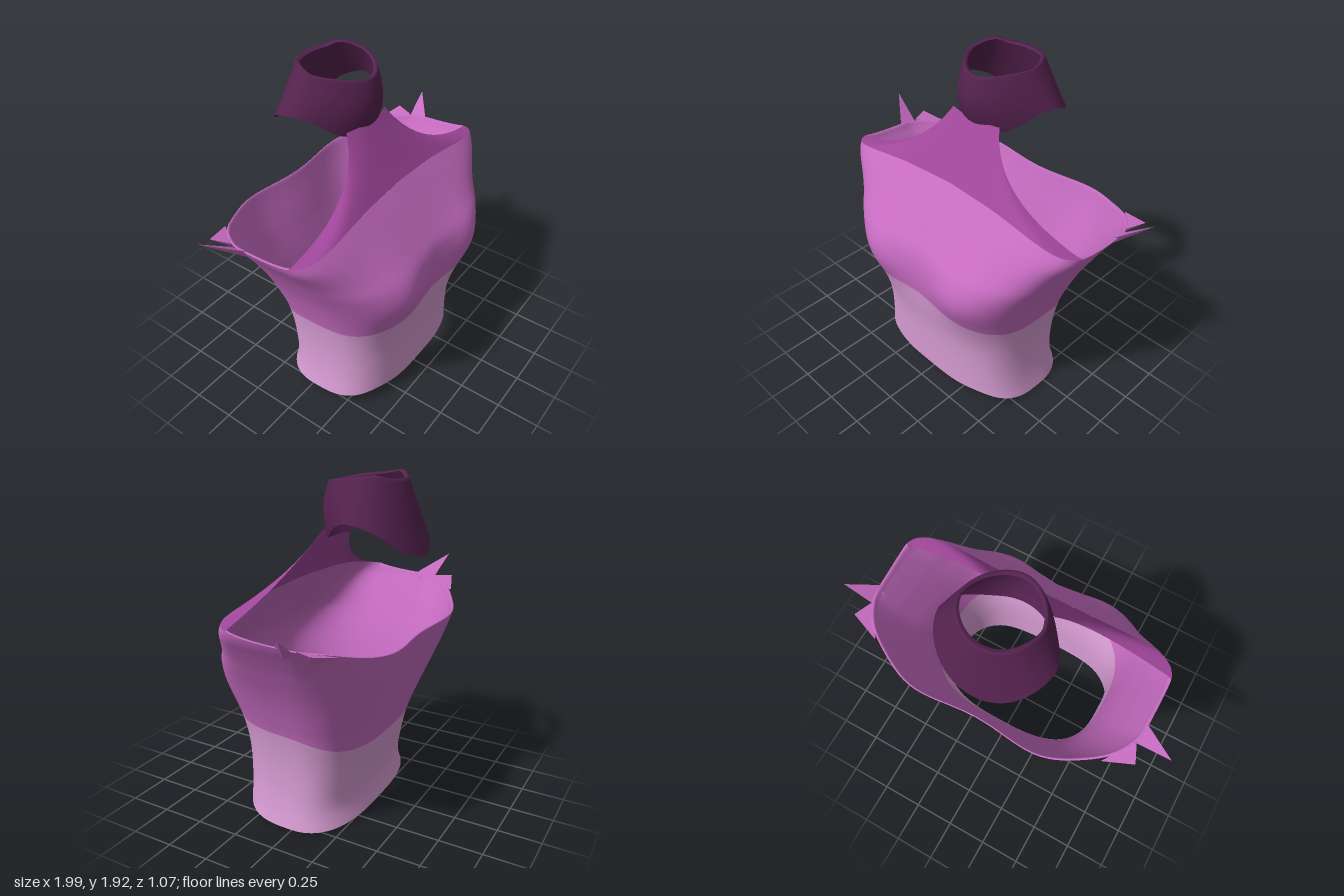
import * as THREE from 'three';

const mat = (name, color) => {
  const m = new THREE.MeshStandardMaterial({ color, side: THREE.DoubleSide });
  m.name = name;
  return m;
};
const { lerp, smoothstep, clamp } = THREE.MathUtils;

// Smooth curve through [position, value] pairs
function curve(pts) {
  const slope = i => {
    const a = pts[Math.max(i - 1, 0)], b = pts[Math.min(i + 1, pts.length - 1)];
    return (b[1] - a[1]) / (b[0] - a[0]);
  };
  return x => {
    x = clamp(x, pts[0][0], pts[pts.length - 1][0]);
    let i = 0;
    while (i < pts.length - 2 && x > pts[i + 1][0]) i++;
    const [x0, y0] = pts[i], [x1, y1] = pts[i + 1], h = x1 - x0, t = (x - x0) / h;
    const t2 = t * t, t3 = t2 * t;
    return (2 * t3 - 3 * t2 + 1) * y0 + (t3 - 2 * t2 + t) * h * slope(i)
      + (3 * t2 - 2 * t3) * y1 + (t3 - t2) * h * slope(i + 1);
  };
}

// Surface from a rule f(u, v) -> [x, y, z]; u goes round, v goes up
function sheet(name, material, f, nu, nv, closed) {
  const pos = [], idx = [], cols = closed ? nu : nu + 1;
  for (let j = 0; j <= nv; j++)
    for (let i = 0; i < cols; i++) pos.push(...f(i / nu, j / nv));
  for (let j = 0; j < nv; j++)
    for (let i = 0; i < nu; i++) {
      const a = j * cols + i, b = j * cols + (i + 1) % cols;
      idx.push(a, a + cols, b, b, a + cols, b + cols);
    }
  const g = new THREE.BufferGeometry();
  g.setAttribute('position', new THREE.Float32BufferAttribute(pos, 3));
  g.setIndex(idx);
  g.computeVertexNormals();
  const mesh = new THREE.Mesh(g, material);
  mesh.name = name;
  return mesh;
}

// Body outline by height
const halfWidth = curve([[0, .56], [.08, .54], [.2, .523], [.35, .518], [.5, .53], [.6, .55], [.8, .62], [1, .72], [1.1, .78], [1.2, .84], [1.31, .85]]);
const frontZ = curve([[0, .43], [.1, .43], [.4, .445], [.6, .48], [.8, .51], [.95, .485], [1.05, .42], [1.2, .315], [1.31, .235]]);
const backZ = curve([[0, -.29], [.13, -.26], [.3, -.285], [.47, -.325], [.6, -.37], [.8, -.445], [1.08, -.535], [1.31, -.56]]);
const middleZ = curve([[0, .06], [.5, .05], [.9, -.04], [1.2, -.1], [1.31, -.1]]);
const frontBend = curve([[0, .66], [.5, .66], [.8, .6], [1, .52], [1.2, .36], [1.31, .33]]);
const backBend = curve([[0, .7], [.6, .7], [1.1, .8], [1.31, .8]]);
const bump = (x, c, w) => Math.exp(-(((x - c) / w) ** 2));
const power = (v, e) => Math.sign(v) * Math.abs(v) ** e;

function bodyPoint(a, y) {
  const c = Math.cos(a), s = Math.sin(a), zc = middleZ(y);
  const e = lerp(backBend(y), frontBend(y), smoothstep(s, -.3, .3));
  const x = halfWidth(y) * power(c, e), ax = Math.abs(x);
  let z = zc + (s > 0 ? frontZ(y) - zc : zc - backZ(y)) * power(s, e);
  // Chest fullness, shoulder blades and the hollow down the spine
  if (s > 0) z += s * (.05 * bump(ax, .36, ax > .36 ? .26 : .2) - .02 * bump(x, 0, .16)) * bump(y, .83, .2);
  else z += s * (.03 * bump(ax, .45, .2) - .035 * bump(x, 0, .25)) * smoothstep(y, .4, 1);
  return [x + .005 + .012 * smoothstep(y, .2, 1.1), y, z];
}

// Edge heights, by angle round the body
const hemCurve = curve([[-1, .025], [-.5, .02], [0, .02], [.5, .045], [.85, .075], [1, .065]]);
const bandCurve = curve([[-1, .475], [-.6, .5], [0, .56], [.5, .585], [.85, .63], [1, .68]]);
const backRim = curve([[-1, 1.085], [-.8, 1.11], [-.5, 1.165], [0, 1.195], [.3, 1.227]]);
const hem = a => hemCurve(Math.sin(a)) - .02 * Math.cos(a);
const band = a => bandCurve(Math.sin(a));
const rim = a => Math.sin(a) > .3 ? 1.31 - .085 * Math.abs(Math.cos(a)) ** .66 : backRim(Math.sin(a));
const ring = (low, high) => (u, v) => {
  const a = u * Math.PI * 2;
  return bodyPoint(a, lerp(low(a), high(a), v));
};

// Collar edges, by sine of the angle
const collarTop = curve([[-1, 1.895], [-.85, 1.9], [-.6, 1.92], [0, 1.9], [.6, 1.885], [1, 1.865]]);
const collarBase = curve([[-1, 1.51], [-.8, 1.56], [-.5, 1.64], [0, 1.69], [.4, 1.665], [.8, 1.575], [1, 1.56]]);
function collarPoint(u, v) {
  const a = u * Math.PI * 2, c = Math.cos(a), s = Math.sin(a), front = Math.max(0, s);
  const lip = Math.max(0, (v - .9) / .1), t = Math.min(1, v / .9);
  const r = (lerp(.325, .215, t) - .015 * lip) * (1 - .2 * front);
  const rz = lerp(.27, .215, t) - .025 * lip;
  const bulge = front * .035 * Math.sin(Math.PI * t);
  const y = lerp(collarBase(s), collarTop(s), t) - .012 * lip;
  return [r * c + .008, y, lerp(-.23, -.165, t) + rz * s + bulge];
}

// Halter panel sweeping from the chest line up to the collar
const edgeAngle = Math.asin(.3);
function panelPoint(u, v) {
  const a = lerp(edgeAngle, Math.PI - edgeAngle, u);
  const p = bodyPoint(a, rim(a));
  const c = clamp((p[0] - .017) / .825, -1, 1), k = c * c;
  const mid = [.3 * c, 1.455 - .125 * k, .14 + .055 * k];
  const top = [.17 * c, 1.615, .045 - .025 * k];
  return p.map((q, i) => (1 - v) ** 2 * q + 2 * v * (1 - v) * mid[i] + v * v * top[i]);
}

// Pointed scrap of cloth: three base corners and a tip
function scrap(name, material, corners, tip, side) {
  const pos = [];
  for (let i = 0; i < 3; i++) {
    const a = corners[i], b = corners[(i + 1) % 3];
    for (const p of side > 0 ? [a, b, tip] : [b, a, tip]) pos.push(p[0] * side + .015, p[1], p[2]);
  }
  const g = new THREE.BufferGeometry();
  g.setAttribute('position', new THREE.Float32BufferAttribute(pos, 3));
  g.computeVertexNormals();
  const mesh = new THREE.Mesh(g, material);
  mesh.name = name;
  return mesh;
}

export function createModel() {
  const orchid = mat('orchid', 0xc76cc2);
  const paleLilac = mat('pale lilac', 0xd79cd3);
  const plum = mat('plum', 0xa0469a);
  const darkPurple = mat('dark purple', 0x55224f);

  const model = new THREE.Group();
  model.name = 'halterTop';
  model.add(
    sheet('waistBand', paleLilac, ring(hem, band), 96, 14, true),
    sheet('bodice', orchid, ring(band, rim), 96, 24, true),
    sheet('halterPanel', plum, panelPoint, 60, 16, false),
    sheet('collar', darkPurple, collarPoint, 56, 20, true),
  );

  // Turned-in hem along the open back and armholes
  model.add(sheet('rimHem', orchid, (u, v) => {
    const a = lerp(Math.PI - edgeAngle, 2 * Math.PI + edgeAngle, u);
    const [x, y, z] = bodyPoint(a, rim(a));
    const k = 1 - .03 * v;
    return [x * k, y + .012 * Math.sin(Math.PI * v) - .02 * v, z * k];
  }, 64, 4, false));

  // Torn points at the armholes
  for (const side of [1, -1]) {
    const label = side > 0 ? 'left' : 'right';
    model.add(
      scrap(label + 'ArmholeSpike', orchid, [[.83, 1.2, -.12], [.8, 1.13, -.15], [.82, 1.17, -.23]],
        side > 0 ? [.975, 1.285, -.24] : [1.01, 1.3, -.26], side),
      scrap(label + 'ArmholeFlap', orchid, [[.82, 1.19, -.23], [.77, 1.11, -.28], [.7, 1.15, -.4]],
        [.865, 1.195, -.34], side),
    );
  }
  return model;
}
